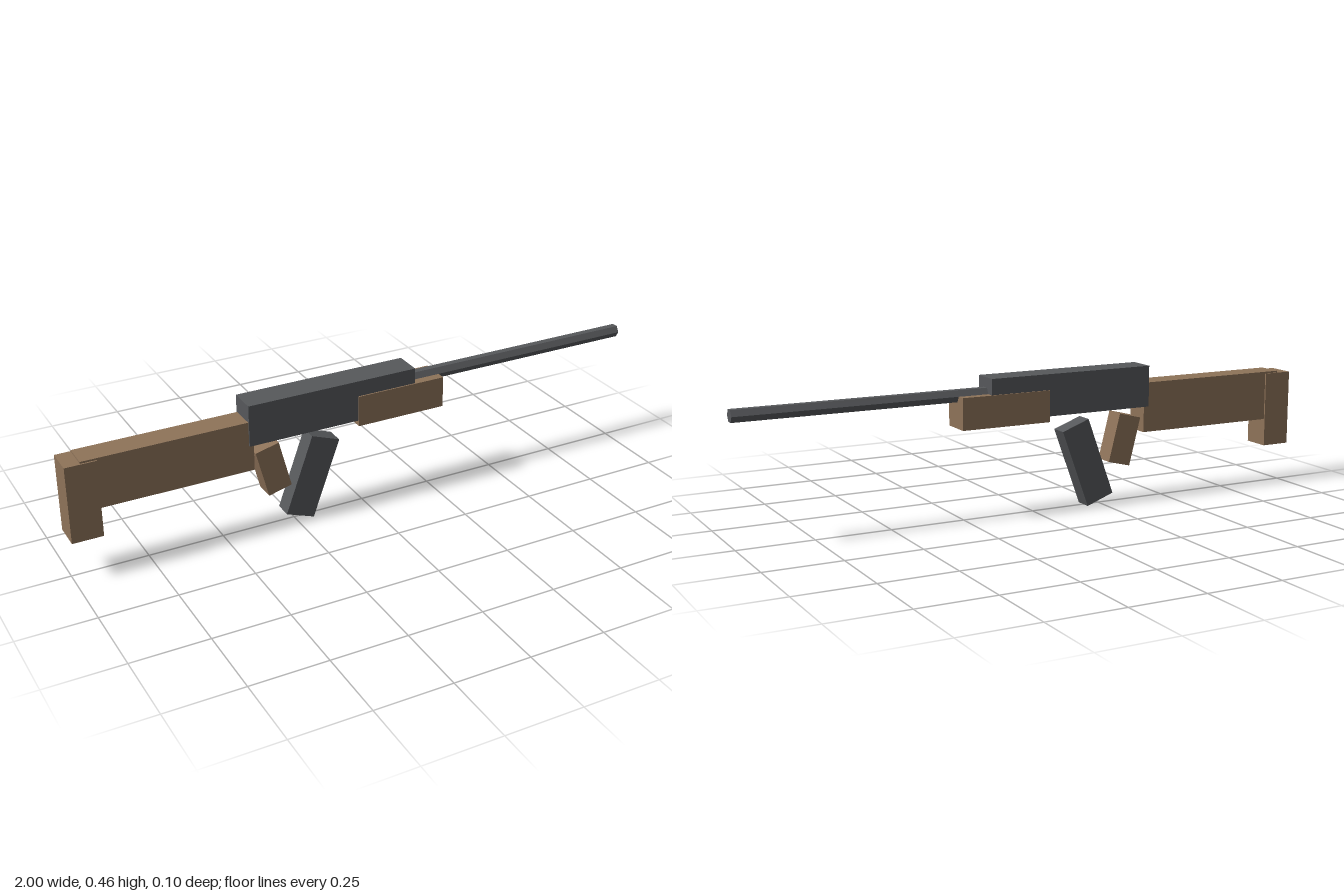
import * as THREE from 'three';

export function createModel() {
  const model = new THREE.Group();
  model.name = 'rifle';

  const wood = new THREE.MeshStandardMaterial({ color: 0x8e7359 });
  wood.name = 'wood';
  const metal = new THREE.MeshStandardMaterial({ color: 0x56585b });
  metal.name = 'gunmetal';

  // Adds a box by centre and size, leaning about z
  function addBox(name, material, [x, y], [w, h, d], lean = 0) {
    const mesh = new THREE.Mesh(new THREE.BoxGeometry(w, h, d), material);
    mesh.name = name;
    mesh.position.set(x, y, 0);
    mesh.rotation.z = lean;
    model.add(mesh);
  }

  // Wooden furniture
  addBox('buttPlate', wood, [-0.95, 0.268], [0.1, 0.256, 0.094]);
  addBox('stock', wood, [-0.675, 0.318], [0.55, 0.168, 0.084]);
  addBox('grip', wood, [-0.331, 0.2135], [0.082, 0.166, 0.068], 0.25);
  addBox('foreEnd', wood, [0.118, 0.355], [0.31, 0.104, 0.103]);

  // Metal body
  addBox('receiver', metal, [-0.123, 0.39], [0.585, 0.138, 0.094]);
  addBox('magazine', metal, [-0.193, 0.148], [0.102, 0.277, 0.06], -0.35);

  // Six-sided barrel, corners up and down
  const barrelGeometry = new THREE.CylinderGeometry(0.022, 0.022, 0.9, 6).toNonIndexed();
  barrelGeometry.computeVertexNormals();
  barrelGeometry.rotateZ(-Math.PI / 2);
  const barrel = new THREE.Mesh(barrelGeometry, metal);
  barrel.name = 'barrel';
  barrel.position.set(0.55, 0.407, 0);
  model.add(barrel);

  return model;
}
